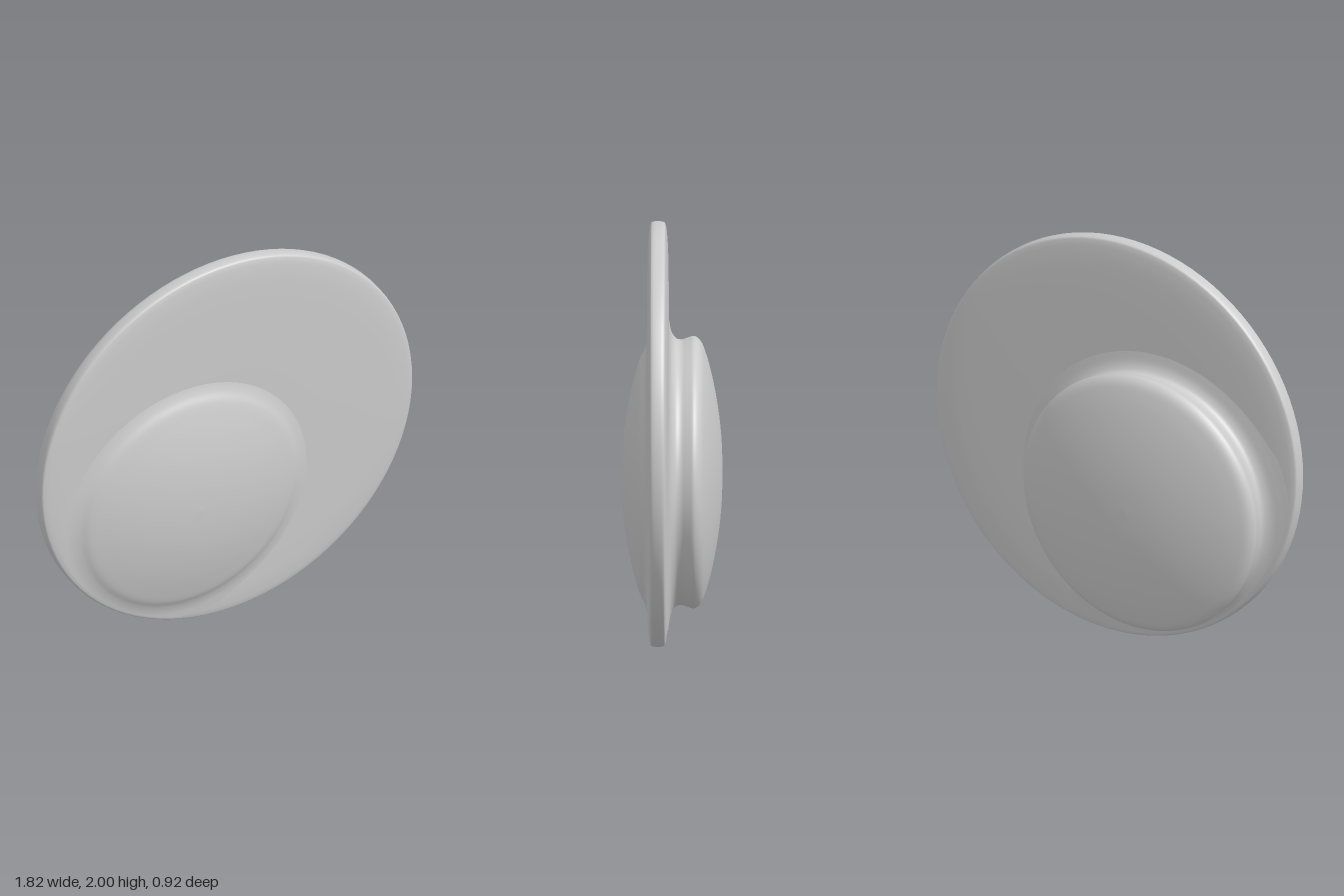
import * as THREE from 'three';

const material = new THREE.MeshStandardMaterial({ color: 0xcccccc });

// Smooth lathe around an axis parallel to z; profile points are [radius, z], ordered back to front.
// Vertices are kept within the given distance of the plate's own axis.
function turned(name, profile, x, y, limit) {
  const curve = new THREE.CatmullRomCurve3(profile.map(([r, z]) => new THREE.Vector3(r, z, 0)), false, 'centripetal');
  const points = curve.getPoints(60).map(p => new THREE.Vector2(Math.max(0, p.x), p.y));
  const geometry = new THREE.LatheGeometry(points, 96);
  geometry.rotateX(Math.PI / 2);
  geometry.translate(x, y, 0);
  const pos = geometry.attributes.position;
  for (let i = 0; i < pos.count; i++) {
    const k = Math.min(1, limit / Math.max(1e-6, Math.hypot(pos.getX(i), pos.getY(i))));
    pos.setXY(i, pos.getX(i) * k, pos.getY(i) * k);
  }
  const mesh = new THREE.Mesh(geometry, material);
  mesh.name = name;
  return mesh;
}

export function createModel() {
  const model = new THREE.Group();
  model.name = 'tiltedDisc';

  // Upright disc turned about the vertical axis
  const body = new THREE.Group();
  body.name = 'discBody';
  body.position.y = 1;
  body.rotation.y = 0.449;
  model.add(body);

  // Thin plate with a softened rim
  body.add(turned('plate', [
    [0, -0.052], [0.5, -0.052], [0.86, -0.048], [0.94, -0.043], [0.98, -0.037], [0.995, -0.03],
    [1, 0], [0.995, 0.03], [0.98, 0.037], [0.94, 0.043], [0.86, 0.048], [0.5, 0.052], [0, 0.052],
  ], 0, 0, 1));

  // Low off-centre dome on the front, fading into the plate
  body.add(turned('frontDome', [
    [0.68, 0.045], [0.63, 0.053], [0.59, 0.066], [0.55, 0.086], [0.48, 0.107],
    [0.4, 0.127], [0.28, 0.15], [0.14, 0.166], [0, 0.172],
  ], -0.22, -0.26, 0.975));

  // Domed knob on the back with a soft waist that flares into the plate
  body.add(turned('backKnob', [
    [0, -0.304], [0.15, -0.299], [0.3, -0.283], [0.45, -0.255], [0.56, -0.225], [0.618, -0.2],
    [0.64, -0.17], [0.633, -0.14], [0.624, -0.11], [0.63, -0.085], [0.66, -0.064], [0.71, -0.053], [0.76, -0.046],
  ], -0.215, -0.24, 0.975));

  return model;
}
